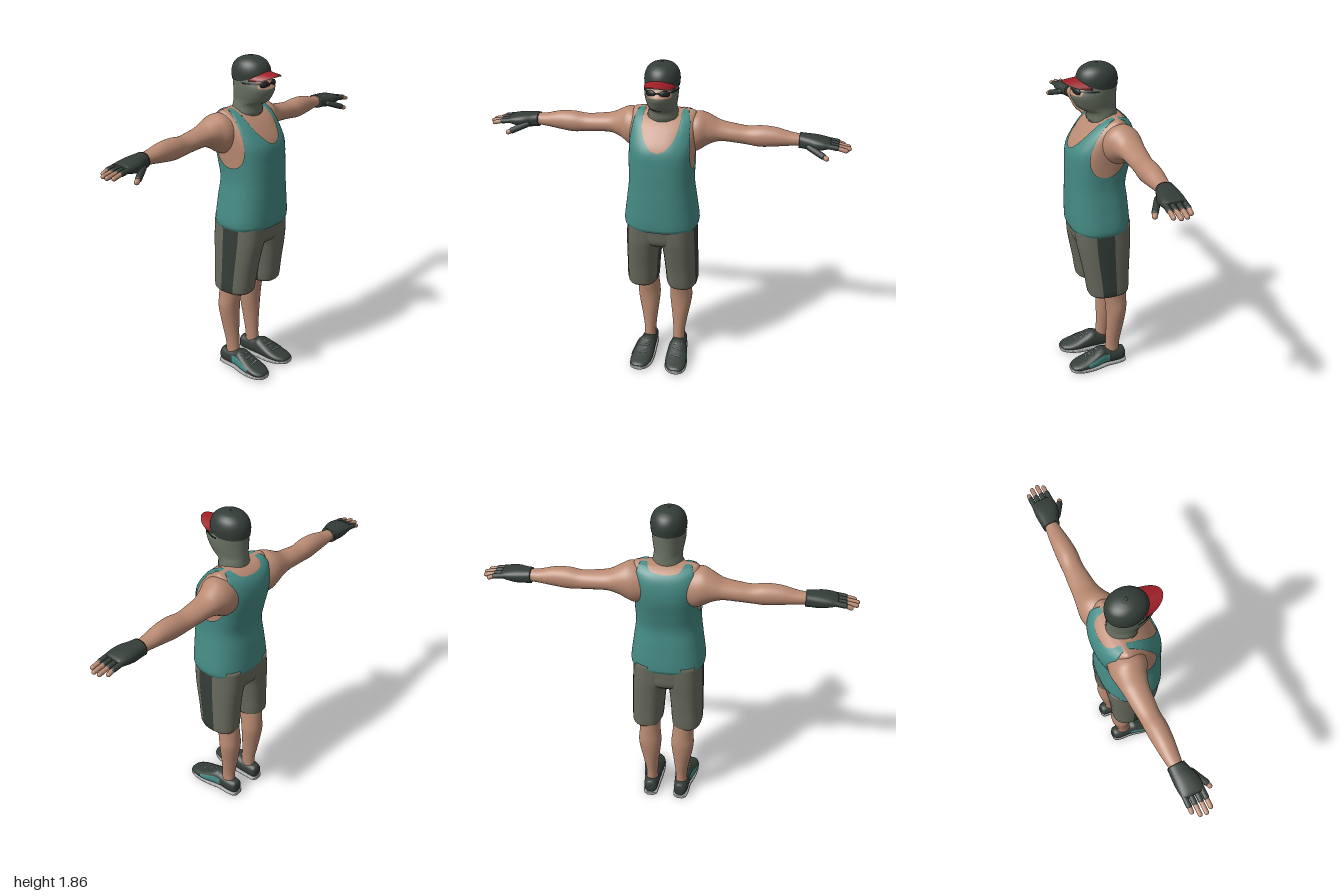
import * as THREE from 'three';

const paint = (name, color) => new THREE.MeshStandardMaterial({ name, color, side: THREE.DoubleSide });
const skin = paint('skin', 0xb98a72);
const teal = paint('teal', 0x458a84);
const khaki = paint('khaki', 0x68695c);
const dark = paint('dark green', 0x343d38);
const maskGrey = paint('mask grey', 0x6a7263);
const red = paint('red', 0x9e1f26);
const sole = paint('sole grey', 0xa3a5a5);
const black = paint('lens black', 0x1e2322);

// Smooth interpolation of all columns of a table keyed by its first column
function sample(table, t) {
  const n = table.length - 1;
  let i = 0;
  while (i < n - 1 && t > table[i + 1][0]) i++;
  const [p, q] = [table[i], table[i + 1]];
  const h = q[0] - p[0], s = Math.min(1, Math.max(0, (t - p[0]) / h));
  const slope = (k, c) => {
    const a = table[Math.max(0, k - 1)], b = table[Math.min(n, k + 1)];
    return (b[c] - a[c]) / (b[0] - a[0]);
  };
  return p.map((v, c) => v * (1 + 2 * s) * (1 - s) ** 2 + q[c] * s * s * (3 - 2 * s)
    + h * (slope(i, c) * s * (1 - s) ** 2 - slope(i + 1, c) * s * s * (1 - s)));
}

// Grid surface from fn(column, row) -> [x, y, z]
function grid(cols, rows, closed, fn) {
  const pos = [], idx = [], w = closed ? cols : cols + 1;
  for (let j = 0; j <= rows; j++) for (let i = 0; i < w; i++) pos.push(...fn(i, j));
  for (let j = 0; j < rows; j++) for (let i = 0; i < cols; i++) {
    const a = j * w + i, b = j * w + (i + 1) % w;
    idx.push(a, b, b + w, a, b + w, a + w);
  }
  const g = new THREE.BufferGeometry();
  g.setAttribute('position', new THREE.Float32BufferAttribute(pos, 3));
  g.setIndex(idx);
  g.computeVertexNormals();
  return g;
}

// Rounded cross-sections along an axis. Rows: [t, aMin, aMax, bMin, bMax];
// (a, b) are (y, z) along x, (z, x) along y and (x, y) along z. Angles in degrees.
const place = { x: (t, a, b) => [t, a, b], y: (t, a, b) => [b, t, a], z: (t, a, b) => [a, b, t] };
const power = (v, e) => Math.sign(v) * Math.abs(v) ** e;
function loft(axis, table, { p = 2, a0 = 0, a1 = 360, t0, t1, off = 0, warp, cap = false, seg = 40 } = {}) {
  const ts = [];
  if (t0 !== undefined) for (let k = 0; k <= 20; k++) ts.push(t0 + (t1 - t0) * k / 20);
  else {
    for (let i = 0; i < table.length - 1; i++)
      for (let k = 0; k < 5; k++) ts.push(table[i][0] + (table[i + 1][0] - table[i][0]) * k / 5);
    ts.push(table[table.length - 1][0]);
  }
  const last = ts.length - 1;
  if (cap) { ts.unshift(ts[0]); ts.push(ts[last + 1]); }
  return grid(seg, ts.length - 1, a1 - a0 === 360, (i, j) => {
    const th = (a0 + (a1 - a0) * i / seg) * Math.PI / 180;
    const ca = power(Math.cos(th), 2 / p), cb = power(Math.sin(th), 2 / p);
    const t = warp ? warp(ts[j], ca, cb) : ts[j];
    const [, aMin, aMax, bMin, bMax] = sample(table, t);
    const k = cap && (j === 0 || j === ts.length - 1) ? 0 : 1;
    return place[axis](t, (aMin + aMax) / 2 + k * ca * ((aMax - aMin) / 2 + off),
      (bMin + bMax) / 2 + k * cb * ((bMax - bMin) / 2 + off));
  });
}

// Rounded rod between two points
function rod(from, to, r) {
  const a = new THREE.Vector3(...from), b = new THREE.Vector3(...to), d = b.clone().sub(a);
  const g = new THREE.CapsuleGeometry(r, d.length(), 5, 12);
  g.applyQuaternion(new THREE.Quaternion().setFromUnitVectors(new THREE.Vector3(0, 1, 0), d.normalize()));
  return g.translate(...a.add(b).multiplyScalar(0.5).toArray());
}

function mirrored(g) {
  const m = g.clone().scale(-1, 1, 1), ix = m.index.array;
  for (let i = 0; i < ix.length; i += 3) [ix[i], ix[i + 1]] = [ix[i + 1], ix[i]];
  return m;
}

export function createModel() {
  const model = new THREE.Group();
  const add = (name, g, mat) => {
    const m = new THREE.Mesh(g, mat);
    m.name = name;
    model.add(m);
  };
  const both = (name, g, mat) => {
    add(name + 'Left', g, mat);
    add(name + 'Right', mirrored(g), mat);
  };
  const sym = rows => rows.map(([y, zb, zf, w]) => [y, zb, zf, -w, w]);

  // Torso, with the tank top cut by a neckline and armholes
  const torso = sym([[0.93, -0.162, 0.16, 0.2], [0.955, -0.172, 0.17, 0.209], [1.1, -0.16, 0.172, 0.191],
    [1.2, -0.149, 0.17, 0.179], [1.3, -0.168, 0.168, 0.181], [1.4, -0.19, 0.158, 0.187],
    [1.48, -0.19, 0.108, 0.19], [1.54, -0.168, 0.05, 0.186], [1.575, -0.125, -0.01, 0.176], [1.585, -0.085, -0.055, 0.165]]);
  const front = [[0, 1.405], [0.21, 1.42], [0.4, 1.46], [0.52, 1.51], [0.6, 1.585], [0.8, 1.585], [0.86, 1.45], [0.92, 1.34], [1, 1.28]];
  const back = [[0, 1.55], [0.4, 1.56], [0.6, 1.585], [0.8, 1.585], [0.84, 1.5], [0.9, 1.36], [1, 1.28]];
  const shirtEdge = (t, ca, cb) => {
    const top = Math.min(1.585, sample(ca > 0 ? front : back, Math.abs(cb))[1]);
    return 0.93 + (t - 0.93) * (top - 0.93) / 0.655;
  };
  add('tankTop', loft('y', torso, { p: 2.5, seg: 160, warp: shirtEdge }), teal);
  add('torso', loft('y', torso, { p: 2.5, off: -0.007, cap: true, seg: 64 }), skin);

  // Arms
  both('arm', loft('x', [[0.1, 1.35, 1.55, -0.165, 0.02], [0.16, 1.345, 1.568, -0.178, 0.025],
    [0.2, 1.362, 1.57, -0.178, 0.018], [0.24, 1.388, 1.553, -0.172, -0.005], [0.3, 1.41, 1.522, -0.164, -0.026],
    [0.38, 1.408, 1.508, -0.157, -0.035], [0.45, 1.402, 1.502, -0.15, -0.04], [0.52, 1.396, 1.511, -0.148, -0.035],
    [0.6, 1.404, 1.507, -0.143, -0.04], [0.68, 1.415, 1.488, -0.135, -0.05], [0.75, 1.42, 1.48, -0.125, -0.06]], { cap: true }), skin);

  // Fingerless gloves
  both('glove', loft('x', [[0.725, 1.41, 1.488, -0.138, -0.046], [0.76, 1.41, 1.486, -0.14, -0.036],
    [0.8, 1.408, 1.485, -0.142, -0.02], [0.84, 1.416, 1.48, -0.142, -0.015], [0.875, 1.426, 1.472, -0.138, -0.018],
    [0.89, 1.435, 1.465, -0.13, -0.025]], { p: 2.5, cap: true }), dark);
  [[-0.125, 0.955], [-0.094, 0.983], [-0.062, 0.988], [-0.032, 0.972]].forEach(([z, tip], i) => {
    const mid = [0.925, 1.443, z];
    both('gloveFinger' + i, rod([0.86, 1.452, z], mid, 0.0145), dark);
    both('fingertip' + i, rod(mid, [tip, 1.432, z], 0.012), skin);
  });
  both('gloveThumb', rod([0.78, 1.435, -0.035], [0.855, 1.408, 0.008], 0.017), dark);
  both('thumbTip', rod([0.855, 1.408, 0.008], [0.876, 1.399, 0.017], 0.0135), skin);

  // Head wrapped in a mask, with a strip of face at the eyes
  const head = sym([[1.535, -0.115, 0.04, 0.088], [1.56, -0.112, 0.05, 0.084], [1.6, -0.109, 0.06, 0.077],
    [1.625, -0.108, 0.102, 0.076], [1.66, -0.107, 0.127, 0.083], [1.7, -0.108, 0.141, 0.088],
    [1.74, -0.109, 0.116, 0.087], [1.79, -0.1, 0.098, 0.084]]);
  add('faceMask', loft('y', head, { cap: true }), maskGrey);
  add('maskFold', loft('y', head, { t0: 1.553, t1: 1.573, off: 0.004 }), maskGrey);
  add('face', loft('y', head, { a0: -48, a1: 48, t0: 1.703, t1: 1.775, off: 0.003 }), skin);
  both('glassesArm', loft('y', head, { a0: 30, a1: 88, t0: 1.724, t1: 1.733, off: 0.006 }), black);
  both('glassesLens', new THREE.SphereGeometry(1, 20, 12).scale(0.029, 0.019, 0.01).rotateY(0.4).translate(0.036, 1.723, 0.119), black);
  add('glassesBridge', rod([-0.012, 1.729, 0.132], [0.012, 1.729, 0.132], 0.004), black);

  // Cap
  add('cap', loft('y', sym([[1.735, -0.112, 0.108, 0.091], [1.78, -0.114, 0.11, 0.094], [1.82, -0.1, 0.095, 0.083],
    [1.845, -0.07, 0.065, 0.06], [1.857, -0.035, 0.03, 0.03], [1.86, -0.008, 0.004, 0.004]]),
  { warp: (t, ca) => t + 0.035 * Math.max(0, ca) * (1.86 - t) / 0.125 }), dark);
  add('capButton', new THREE.SphereGeometry(0.008, 12, 8).scale(1, 0.5, 1).translate(0, 1.86, -0.002), dark);
  const brim = drop => grid(32, 8, false, (i, j) => {
    const a = (-90 + 180 * i / 32) * Math.PI / 180, v = j / 8;
    const x = Math.sin(a) * (0.086 - 0.004 * v);
    return [x, 1.789 - 0.012 * v - 5 * x * x - drop, 0.045 + Math.cos(a) * (0.05 + 0.092 * v)];
  });
  add('brim', brim(0), red);
  add('brimUnderside', brim(0.005), dark);

  // Shorts with side stripes
  const shortLeg = [[0.53, -0.14, 0.078, 0.037, 0.194], [0.545, -0.149, 0.088, 0.03, 0.201], [0.65, -0.152, 0.105, 0.022, 0.2],
    [0.78, -0.158, 0.13, 0.008, 0.198], [0.85, -0.163, 0.142, -0.01, 0.196], [0.97, -0.163, 0.15, -0.03, 0.19]];
  both('shortsLeg', loft('y', shortLeg, { p: 2.5, cap: true }), khaki);
  add('shortsSeat', loft('y', sym([[0.8, -0.12, 0.08, 0.1], [0.84, -0.158, 0.132, 0.17], [0.9, -0.163, 0.145, 0.188],
    [0.97, -0.163, 0.15, 0.19]]), { p: 2.5, cap: true }), khaki);
  both('shortsStripe', loft('y', shortLeg, { p: 2.5, a0: 70, a1: 99, t0: 0.535, t1: 0.96, off: 0.003, seg: 10 }), dark);
  both('shortsInnerStripe', loft('y', shortLeg, { p: 2.5, a0: 261, a1: 290, t0: 0.535, t1: 0.77, off: 0.002, seg: 10 }), dark);

  // Lower legs
  both('leg', loft('y', [[0.05, -0.11, -0.025, 0.058, 0.125], [0.15, -0.115, -0.03, 0.055, 0.125],
    [0.25, -0.132, -0.032, 0.046, 0.14], [0.39, -0.15, -0.03, 0.031, 0.163], [0.48, -0.148, -0.015, 0.037, 0.158],
    [0.6, -0.142, 0.01, 0.045, 0.16]], { cap: true }), skin);

  // Shoes
  const shoe = [[-0.15, 0.072, 0.11, 0.03, 0.07], [-0.14, 0.056, 0.125, 0.015, 0.094], [-0.1, 0.05, 0.135, 0.01, 0.1],
    [-0.03, 0.045, 0.14, 0.01, 0.11], [0, 0.042, 0.148, 0.01, 0.118], [0.05, 0.04, 0.16, 0.01, 0.096],
    [0.1, 0.04, 0.167, 0.012, 0.073], [0.15, 0.05, 0.166, 0.014, 0.056], [0.185, 0.072, 0.15, 0.016, 0.045], [0.195, 0.092, 0.13, 0.02, 0.036]];
  both('shoe', loft('z', shoe, { p: 2.3, cap: true }), dark);
  both('shoePatch', loft('z', shoe, { p: 2.3, a0: -28, a1: 24, t0: -0.04, t1: 0.1, off: 0.003, seg: 12 }), teal);
  both('shoeSole', loft('z', shoe.map(([z, l, r]) => {
    const lift = Math.max(0, z - 0.08) * 0.08;
    return [z * 1.02, l - 0.003, r + 0.003, lift, lift + 0.022];
  }), { p: 4, cap: true }), sole);
  for (let i = 0; i < 4; i++) {
    const z = 0.03 + i * 0.022, y = sample(shoe, z)[4] - 0.003;
    both('shoelace' + i, rod([0.078, y, z], [0.126, y, z + (i % 2 ? 0.008 : -0.008)], 0.004), sole);
  }
  return model;
}
